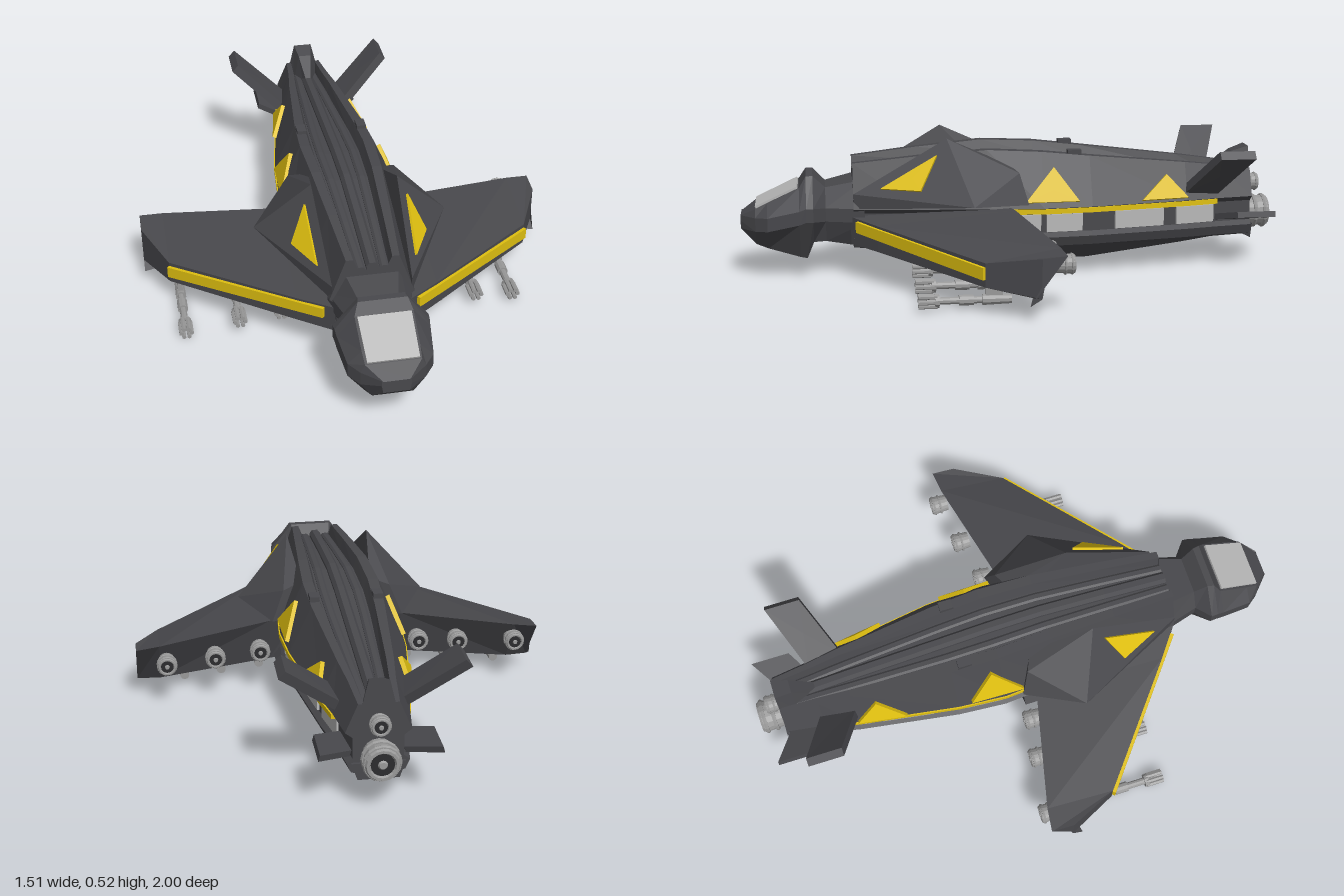
import * as THREE from 'three';
import { ConvexGeometry } from 'three/addons/geometries/ConvexGeometry.js';

const paint = (color) => new THREE.MeshStandardMaterial({ color, flatShading: true });
const dark = paint(0x48484c), black = paint(0x2c2c2e), yellow = paint(0xe0c010);
const glass = paint(0xb8b8b8), metal = paint(0x999999);
const V = (p) => new THREE.Vector3(...p);

function add(parent, name, geometry, material) {
  const mesh = new THREE.Mesh(geometry, material);
  mesh.name = name;
  parent.add(mesh);
  return mesh;
}

// Skin closed loops of [x,y,z] points, cap both ends, and turn faces outward
function loft(loops) {
  const tris = [], n = loops[0].length;
  for (let s = 0; s < loops.length - 1; s++) {
    const a = loops[s], b = loops[s + 1];
    for (let i = 0; i < n; i++) {
      const j = (i + 1) % n;
      tris.push([a[i], a[j], b[j]], [a[i], b[j], b[i]]);
    }
  }
  const cap = (loop, flip) => {
    const c = [0, 1, 2].map((k) => loop.reduce((sum, p) => sum + p[k], 0) / n);
    loop.forEach((p, i) => {
      const q = loop[(i + 1) % n];
      tris.push(flip ? [c, q, p] : [c, p, q]);
    });
  };
  cap(loops[0], true);
  cap(loops[loops.length - 1], false);
  let volume = 0;
  for (const [a, b, c] of tris) volume += V(a).dot(V(b).cross(V(c)));
  if (volume < 0) tris.forEach((t) => t.reverse());
  const g = new THREE.BufferGeometry();
  g.setAttribute('position', new THREE.Float32BufferAttribute(tris.flat(2), 3));
  g.computeVertexNormals();
  return g;
}

// Flat polygon thickened to both sides
function plate(pts, t) {
  const n = V(pts[1]).sub(V(pts[0])).cross(V(pts[2]).sub(V(pts[0]))).normalize().multiplyScalar(t / 2);
  return loft([-1, 1].map((s) => pts.map((p) => V(p).addScaledVector(n, s).toArray())));
}

// Half profile from top to bottom, mirrored into a loop
const mirrorLoop = (half, z) => [
  ...half.map(([x, y]) => [x, y, z]),
  ...half.slice().reverse().map(([x, y]) => [-x, y, z]),
];

// Hull stations: z, half width, top, bottom
const stations = [
  [0.59, 0.15, 0.43, 0.11], [0.35, 0.18, 0.455, 0.085], [0.1, 0.21, 0.475, 0.06],
  [-0.1, 0.225, 0.465, 0.05], [-0.28, 0.212, 0.445, 0.05], [-0.65, 0.155, 0.405, 0.09],
  [-0.77, 0.13, 0.39, 0.105], [-0.91, 0.11, 0.37, 0.11],
];
function hullAt(z) {
  let i = 0;
  while (i < stations.length - 2 && z < stations[i + 1][0]) i++;
  const a = stations[i], b = stations[i + 1], t = (z - a[0]) / (b[0] - a[0]);
  return a.map((v, k) => v + (b[k] - v) * t);
}
// Point on the sloping upper side at a given height
function onSide(z, y, out = 0.004) {
  const [, w, top] = hullAt(z), t = (y - 0.27) / (top - 0.27);
  return [w * (1 - 0.38 * t) + out, y, z];
}

function hull(g) {
  add(g, 'hull', loft(stations.map(([z, w, top, bot]) => mirrorLoop([
    [w * 0.38, top - 0.045], [w * 0.45, top], [w * 0.62, top], [w, 0.27], [w - 0.025, 0.25],
    [w - 0.025, 0.175], [w - 0.005, 0.16], [w - 0.02, 0.125], [w * 0.4, bot],
  ], z))), dark);

  // Rails running along the trough in the roof
  for (const [x, r, h] of [[-0.055, 0.016, 0.01], [0, 0.022, 0.025], [0.055, 0.016, 0.01]]) {
    add(g, 'roofRail', loft(stations.map(([z, w, top]) => {
      const k = w / 0.2, y = top - 0.045;
      return [[-r, -0.02], [-r, h * 0.4], [-r / 2, h], [r / 2, h], [r, h * 0.4], [r, -0.02]]
        .map(([dx, dy]) => [x * k + dx, y + dy, z]);
    })), dark);
  }

  // Nose: z, roof half width and height, side half width and height, keel half width and height
  const nose = [
    [0.55, 0.1, 0.37, 0.15, 0.25, 0.1, 0.12], [0.69, 0.07, 0.34, 0.11, 0.25, 0.08, 0.14],
    [0.735, 0.08, 0.385, 0.165, 0.26, 0.09, 0.14], [0.76, 0.085, 0.385, 0.163, 0.26, 0.09, 0.08],
    [0.785, 0.1, 0.345, 0.16, 0.25, 0.09, 0.085], [0.9, 0.098, 0.292, 0.145, 0.225, 0.085, 0.12],
    [0.945, 0.095, 0.27, 0.11, 0.22, 0.07, 0.135], [1, 0.045, 0.237, 0.05, 0.22, 0.045, 0.19],
  ];
  add(g, 'nose', loft(nose.map(([z, a, ya, w, yw, b, yb]) =>
    mirrorLoop([[a, ya], [w, yw + 0.02], [w, yw - 0.03 * (z < 1)], [b, yb]], z))), dark);
  add(g, 'windscreen', plate([[-0.092, 0.345, 0.79], [0.092, 0.345, 0.79],
    [0.088, 0.274, 0.943], [-0.088, 0.274, 0.943]], 0.012), glass);

  // Stern: raised tail fin and two stacked thrusters
  add(g, 'tailFin', loft([[-0.75, 0.008, 0.36], [-0.85, 0.025, 0.43], [-0.91, 0.035, 0.45]]
    .map(([z, w, y]) => [[-w, y, z], [w, y, z], [w * 2, 0.3, z], [-w * 2, 0.3, z]])), dark);
  add(g, 'sternSkid', new ConvexGeometry([[-0.09, 0.16, -0.8], [0.09, 0.16, -0.8], [-0.07, 0.1, -0.92],
    [0.07, 0.1, -0.92], [-0.09, 0.16, -0.92], [0.09, 0.16, -0.92]].map(V)), dark);
  thruster(g, 0, 0.19, -0.95, 0.066, 0.1);
  thruster(g, 0, 0.305, -0.93, 0.036, 0.06);
}

// Cylinder lying along z
function tube(g, name, rFront, rBack, length, x, y, z, material = metal, sides = 16) {
  const geo = new THREE.CylinderGeometry(rFront, rBack, length, sides).rotateX(Math.PI / 2);
  add(g, name, geo, material).position.set(x, y, z);
}

function thruster(parent, x, y, z, r, length) {
  const g = new THREE.Group();
  g.name = 'thruster';
  g.position.set(x, y, z);
  parent.add(g);
  const end = -length / 2;
  tube(g, 'thrusterBody', r * 0.8, r * 0.92, length * 0.9, 0, 0, length * 0.05);
  for (const [k, rr] of [[0.25, 1], [0.85, 1]]) {
    add(g, 'thrusterRing', new THREE.TorusGeometry(r * rr - r * 0.12, r * 0.12, 6, 16), metal)
      .position.z = end + length * k * 0.6 + r * 0.05;
  }
  add(g, 'nozzleRim', new THREE.TorusGeometry(r * 0.75, r * 0.14, 6, 16), metal).position.z = end + r * 0.14;
  tube(g, 'nozzleThroat', r * 0.6, r * 0.6, 0.004, 0, 0, end + length * 0.09, black);
  tube(g, 'nozzleCone', r * 0.3, r * 0.18, 0.012, 0, 0, end + length * 0.06);
}

function gun(parent, x, y) {
  const g = new THREE.Group();
  g.name = 'gun';
  g.position.set(x, y, 0);
  parent.add(g);
  tube(g, 'gunBody', 0.02, 0.017, 0.1, 0, 0, 0.12, metal, 10);
  tube(g, 'barrel', 0.013, 0.013, 0.2, 0, 0, 0.26, metal, 10);
  tube(g, 'barrelSleeve', 0.019, 0.019, 0.05, 0, 0, 0.225, metal, 10);
  tube(g, 'muzzleCollar', 0.024, 0.024, 0.015, 0, 0, 0.325, metal, 10);
  for (let i = 0; i < 6; i++) {
    const a = (i * Math.PI) / 3;
    tube(g, 'muzzle', 0.008, 0.008, 0.065, 0.019 * Math.cos(a), 0.019 * Math.sin(a), 0.357, metal, 6);
  }
  add(g, 'pylon', new THREE.BoxGeometry(0.018, 0.06, 0.06), metal).position.set(0, 0.035, 0.13);
}

// Everything on the +x side, later mirrored
function sideParts() {
  const g = new THREE.Group();
  g.name = 'leftSide';

  // Wing sections: x, leading z, its bottom and top, trailing z at top and bottom, their heights
  const wing = [
    [0.13, 0.6, 0.14, 0.24, 0.05, 0.28, 0.08, 0.1], [0.25, 0.509, 0.135, 0.23, 0.01, 0.272, 0.06, 0.095],
    [0.67, 0.17, 0.108, 0.192, -0.085, 0.237, 0.01, 0.066], [0.755, -0.01, 0.085, 0.222, -0.095, 0.23, 0.03, 0.06],
  ];
  add(g, 'wing', loft(wing.map(([x, zl, b, t, zt, yt, zb, yb]) =>
    [[x, b, zl], [x, t, zl], [x, yt, zt], [x, yb, zb]])), dark);
  add(g, 'wingStripe', plate([[0.165, 0.19, 0.575], [0.67, 0.135, 0.17],
    [0.67, 0.178, 0.17], [0.165, 0.23, 0.575]], 0.024), yellow);

  // Peaked shoulder fairing with a triangular panel on its front face
  const F = [0.14, 0.325, 0.59], P = [0.155, 0.525, 0.25], O = [0.355, 0.31, 0.17];
  add(g, 'shoulderFairing', new ConvexGeometry([F, P, O, [0.14, 0.27, 0.59], [0.13, 0.42, 0.02],
    [0.2, 0.4, -0.01], [0.245, 0.29, -0.04], [0.1, 0.28, 0.02]].map(V)), dark);
  const mix = (f, p, o) => F.map((v, k) => v * f + P[k] * p + O[k] * o);
  add(g, 'shoulderPanel', plate([mix(0.14, 0.72, 0.14), mix(0.4, 0.15, 0.45), mix(0.74, 0.12, 0.14)], 0.018), yellow);

  // Raised triangles, stripe and windows along the flank
  for (const [z0, z1, y0, y1] of [[-0.03, -0.23, 0.29, 0.41], [-0.47, -0.65, 0.28, 0.365]]) {
    add(g, 'flankTriangle', plate([onSide(z0, y0), onSide(z1, y0), onSide((z0 + z1) / 2 - 0.01, y1)], 0.024), yellow);
  }
  const stripeZ = [0.06, -0.1, -0.28, -0.65, -0.77];
  add(g, 'flankStripe', loft(stripeZ.map((z) => {
    const w = hullAt(z)[1];
    return [[w - 0.02, 0.25, z], [w + 0.004, 0.25, z], [w + 0.004, 0.268, z], [w - 0.02, 0.268, z]];
  })), yellow);
  for (const [z0, z1] of [[0, -0.09], [-0.11, -0.245], [-0.37, -0.56], [-0.61, -0.76]]) {
    const x0 = hullAt(z0)[1] - 0.023, x1 = hullAt(z1)[1] - 0.023;
    add(g, 'flankWindow', plate([[x0, 0.178, z0], [x1, 0.178, z1], [x1, 0.243, z1], [x0, 0.243, z0]], 0.012), glass);
  }

  // Tail fins: a raised pair and a level pair
  add(g, 'upperFin', plate([[0.12, 0.3, -0.64], [0.305, 0.465, -0.73],
    [0.305, 0.465, -0.86], [0.1, 0.29, -0.77]], 0.035), dark);
  add(g, 'lowerFin', plate([[0.09, 0.19, -0.76], [0.203, 0.22, -0.83],
    [0.203, 0.22, -0.975], [0.09, 0.19, -0.9]], 0.022), dark);

  // Roof lug and belly strake
  add(g, 'roofLug', new THREE.BoxGeometry(0.035, 0.03, 0.05), dark).position.set(0.115, 0.452, -0.225);
  const strake = add(g, 'bellyStrake', new THREE.BoxGeometry(0.1, 0.04, 0.35), dark);
  strake.position.set(0.18, 0.095, 0.15);
  strake.rotation.z = 0.65;
  return g;
}

export function createModel() {
  const model = new THREE.Group();
  model.name = 'gunship';
  hull(model);
  const left = sideParts(), right = sideParts();
  right.name = 'rightSide';
  right.scale.x = -1;
  model.add(left, right);
  // Guns and wing thrusters sit slightly differently on each side
  for (const [x, y] of [[-0.635, 0.032], [-0.44, 0.055], [-0.29, 0.072], [0.29, 0.072], [0.435, 0.055], [0.575, 0.04]]) {
    gun(model, x, y);
  }
  for (const [x, z] of [[-0.67, -0.08], [-0.457, -0.05], [-0.31, -0.025], [0.645, -0.105], [0.465, -0.07], [0.295, -0.035]]) {
    thruster(model, x, 0.175, z, 0.038, 0.065);
  }
  return model;
}
